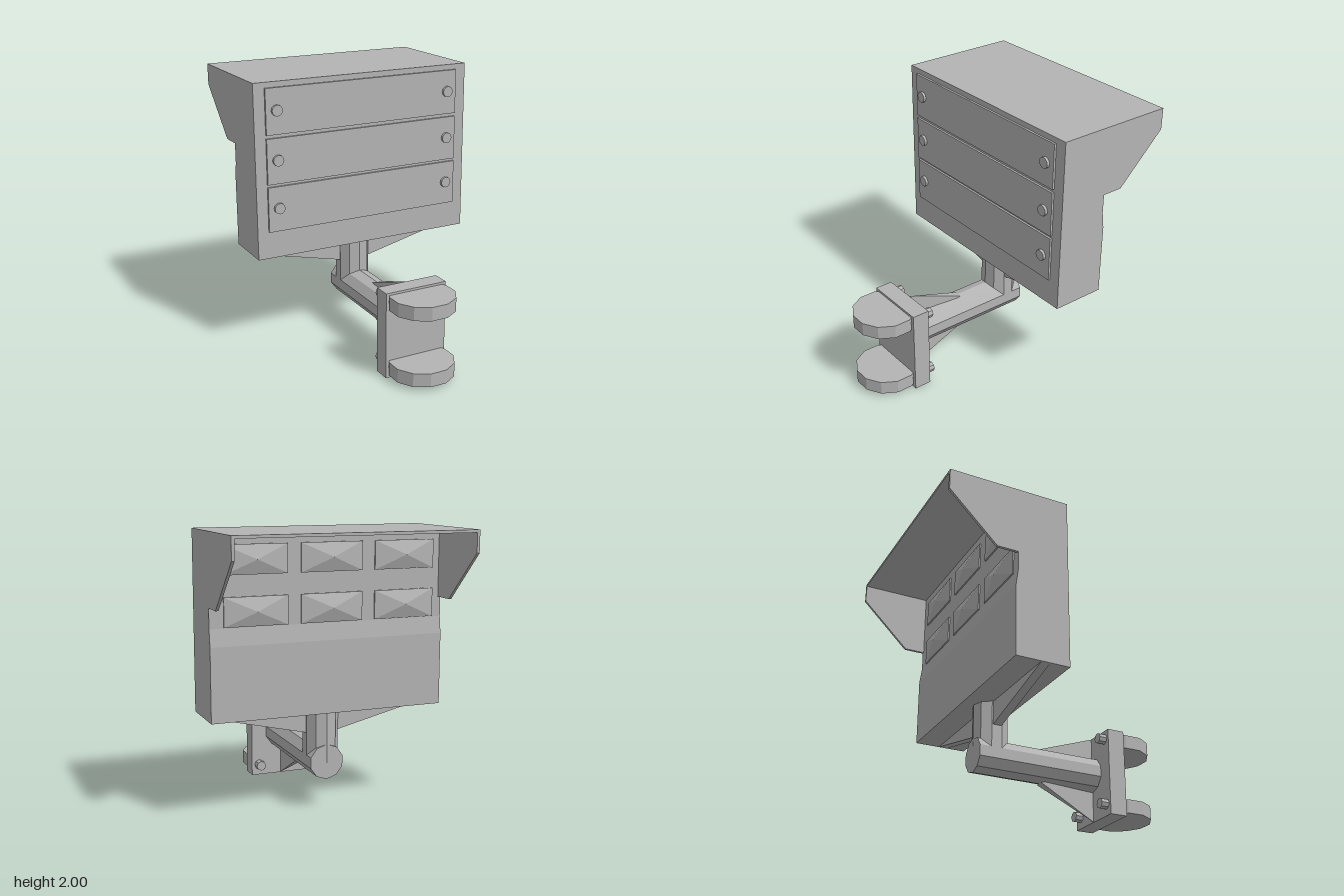
import * as THREE from 'three';
import { ConvexGeometry } from 'three/addons/geometries/ConvexGeometry.js';

export function createModel() {
  const model = new THREE.Group();
  const grey = new THREE.MeshStandardMaterial({ color: 0xb4b4b4, flatShading: true });
  grey.name = 'grey';
  const cx = -0.015; // centre line of the mount

  function add(name, geometry) {
    const mesh = new THREE.Mesh(geometry, grey);
    mesh.name = name;
    model.add(mesh);
    return mesh;
  }
  // Box given by its limits on each axis
  function block(name, x0, x1, y0, y1, z0, z1) {
    const g = new THREE.BoxGeometry(x1 - x0, y1 - y0, z1 - z0);
    g.translate((x0 + x1) / 2, (y0 + y1) / 2, (z0 + z1) / 2);
    return add(name, g);
  }
  // Cylinder lying along z
  function rod(name, r, sides, x, y, z0, z1) {
    const g = new THREE.CylinderGeometry(r, r, z1 - z0, sides);
    g.rotateX(Math.PI / 2).translate(x, y, (z0 + z1) / 2);
    return add(name, g);
  }
  // Side profile of [z, y] points, extruded from x0 to x1
  function sideProfile(name, points, x0, x1) {
    const shape = new THREE.Shape(points.map(([z, y]) => new THREE.Vector2(-z, y)));
    const g = new THREE.ExtrudeGeometry(shape, { depth: x1 - x0, bevelEnabled: false });
    g.rotateY(Math.PI / 2).translate(x0, 0, 0);
    return add(name, g);
  }

  // Housing, with a shallow step in its back wall
  const W = 0.855;
  sideProfile('housing', [
    [-0.1, 0.725], [-0.1, 2], [-0.48, 2], [-0.48, 1.36], [-0.497, 1.24], [-0.497, 0.725],
  ], -W, W);

  // Hood: roof and two cheeks
  block('hoodRoof', -W, W, 1.98, 2, -0.99, -0.48);
  const cheek = [[-0.48, 1.5], [-0.48, 2], [-0.99, 2], [-0.99, 1.845], [-0.635, 1.5]];
  sideProfile('hoodCheekRight', cheek, -W, -W + 0.02);
  sideProfile('hoodCheekLeft', cheek, W - 0.02, W);

  // Faceted lenses under the hood
  for (const y of [1.465, 1.81]) {
    for (const x of [-0.56, cx, 0.53]) {
      const g = new THREE.ConeGeometry(Math.SQRT1_2, 1, 4);
      g.rotateY(Math.PI / 4).rotateX(-Math.PI / 2);
      g.scale(0.45, 0.2, 0.035).translate(x, y, -0.507);
      add('lens', g);
      block('lensBase', x - 0.225, x + 0.225, y - 0.1, y + 0.1, -0.49, -0.475);
    }
  }

  // Front doors with a knob at each end
  for (const y of [1.09, 1.44, 1.795]) {
    block('door', -0.772, 0.768, y - 0.165, y + 0.165, -0.11, -0.084);
    for (const x of [-0.693, 0.69]) rod('doorKnob', 0.04, 12, x, y + 0.007, -0.09, -0.064);
  }

  // Post and arm
  const post = new THREE.CylinderGeometry(0.127, 0.127, 0.4, 10);
  post.translate(cx, 0.54, -0.28);
  add('post', post);
  rod('arm', 0.127, 10, cx, 0.348, -0.405, 0.56);

  // Webs under the housing
  for (const s of [-1, 1]) {
    const shape = new THREE.Shape([
      new THREE.Vector2(cx, 0.73), new THREE.Vector2(cx, 0.523),
      new THREE.Vector2(s * W, 0.725), new THREE.Vector2(s * W, 0.73),
    ]);
    const g = new THREE.ExtrudeGeometry(shape, { depth: 0.065, bevelEnabled: false });
    g.translate(0, 0, -0.31);
    add('housingWeb', g);
  }

  // Tapered webs between arm and wall plate
  for (const [armY, edgeY] of [[0.472, 0.635], [0.222, 0]]) {
    add('armWeb', new ConvexGeometry([
      new THREE.Vector3(cx - 0.033, armY, 0.11), new THREE.Vector3(cx + 0.033, armY, 0.11),
      new THREE.Vector3(cx, edgeY, 0.552), new THREE.Vector3(cx, 0.348, 0.552),
    ]));
  }

  // Mounting plate, pole clamps and bolts
  block('mountPlate', -0.252, 0.224, 0, 0.635, 0.55, 0.68);
  for (const y of [0.08, 0.568]) {
    const g = new THREE.CylinderGeometry(0.234, 0.234, 0.1, 12);
    g.rotateY(Math.PI / 12).translate(cx, y, 0.764);
    // Flatten the rear of the disc against the plate
    const p = g.attributes.position;
    for (let i = 0; i < p.count; i++) p.setZ(i, Math.max(p.getZ(i), 0.6));
    add('clamp', g);
    for (const s of [-1, 1]) rod('bolt', 0.038, 8, cx + s * 0.18, y + 0.004, 0.493, 0.72);
  }
  return model;
}
